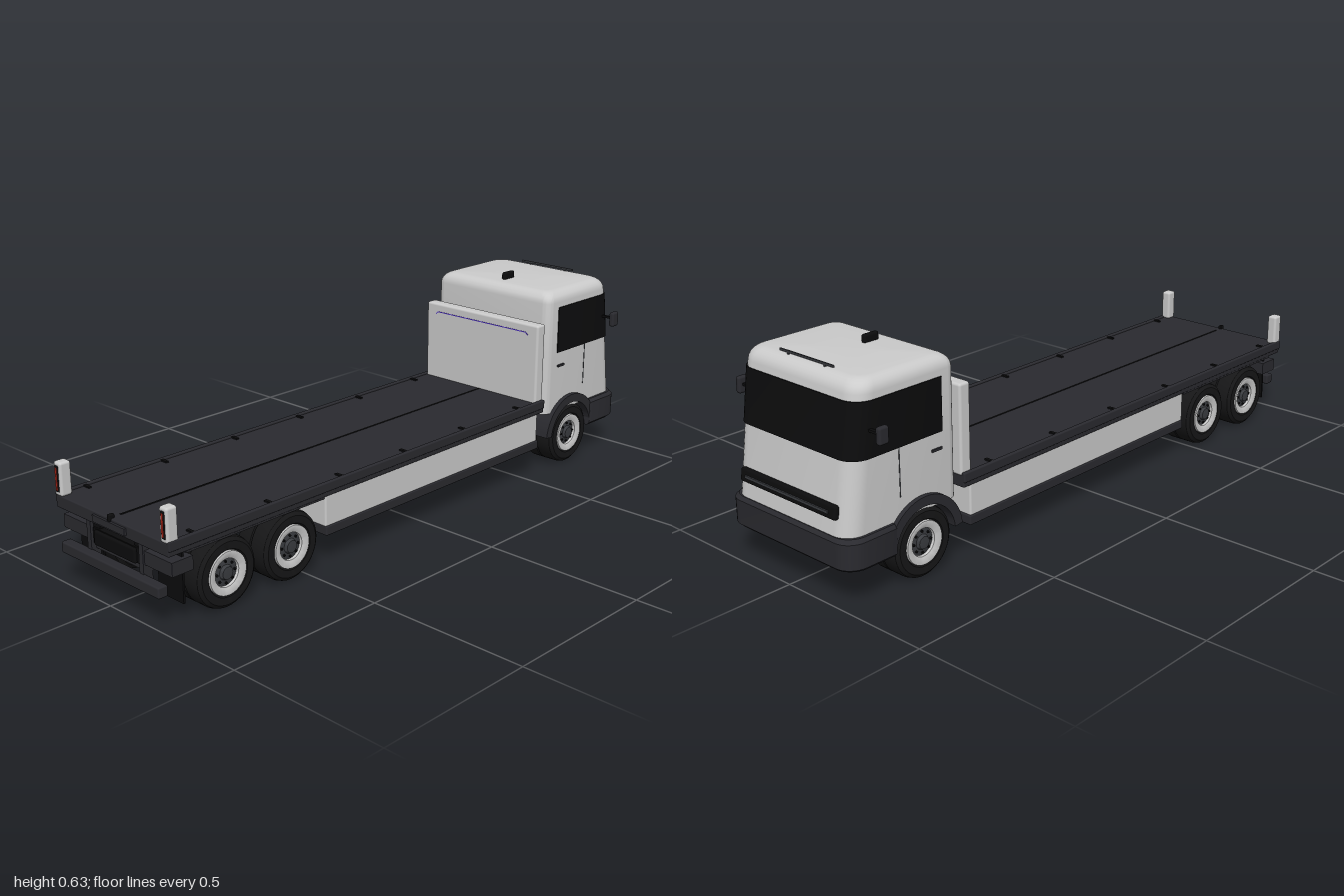
import * as THREE from 'three';
import { toCreasedNormals } from 'three/addons/utils/BufferGeometryUtils.js';
import { RoundedBoxGeometry } from 'three/addons/geometries/RoundedBoxGeometry.js';

const mat = (color, side = THREE.FrontSide) => new THREE.MeshStandardMaterial({ color, side });
const white = mat(0xcccccc), dark = mat(0x2a2a2f), black = mat(0x0c0c0d), tyreMat = mat(0x161617);
const grey = mat(0x3a3c40), red = mat(0xd03020), violet = mat(0x4a2fc0);

export function createModel() {
  const truck = new THREE.Group();
  truck.name = 'flatbedTruck';

  function add(name, geometry, material, parent = truck) {
    const mesh = new THREE.Mesh(geometry, material);
    mesh.name = name;
    parent.add(mesh);
    return mesh;
  }
  // Box given by its limits, with an optional edge radius
  function box(name, [x0, x1], [y0, y1], [z0, z1], material, r = 0, parent = truck) {
    const w = x1 - x0, h = y1 - y0, d = z1 - z0;
    const g = r ? new RoundedBoxGeometry(w, h, d, 2, r) : new THREE.BoxGeometry(w, h, d);
    const m = add(name, g, material, parent);
    m.position.set((x0 + x1) / 2, (y0 + y1) / 2, (z0 + z1) / 2);
    return m;
  }
  // The same box on both sides
  function pair(name, [x0, x1], y, z, material, r = 0) {
    box(name + 'Left', [x0, x1], y, z, material, r);
    box(name + 'Right', [-x1, -x0], y, z, material, r);
  }

  // Rounded rectangle in the xz plane, with its own front and rear corner radius
  function ring({ y, w, zf, zr, rf, rr }) {
    const pts = [], n = 8;
    [[1, 1, rr], [-1, 1, rr], [-1, -1, rf], [1, -1, rf]].forEach(([sx, sz, r], c) => {
      for (let i = 0; i <= n; i++) {
        const a = (c + i / n) * Math.PI / 2;
        pts.push([sx * (w - r) + r * Math.cos(a), y, (sz > 0 ? zr - r : zf + r) + r * Math.sin(a)]);
      }
    });
    return pts;
  }
  // Closed solid through a stack of rings, bottom to top
  function loft(sections, crease = 0.5) {
    const rings = sections.map(ring), n = rings[0].length, pos = rings.flat(2), idx = [];
    for (let k = 0; k < rings.length - 1; k++) {
      for (let i = 0; i < n; i++) {
        const a = k * n + i, b = k * n + (i + 1) % n;
        idx.push(a, a + n, b, b, a + n, b + n);
      }
    }
    const first = sections[0], last = sections[sections.length - 1], top = (rings.length - 1) * n;
    const c = rings.length * n;
    pos.push(0, first.y, (first.zf + first.zr) / 2, 0, last.y, (last.zf + last.zr) / 2);
    for (let i = 0; i < n; i++) {
      const j = (i + 1) % n;
      idx.push(c, i, j, c + 1, top + j, top + i);
    }
    const g = new THREE.BufferGeometry();
    g.setAttribute('position', new THREE.Float32BufferAttribute(pos, 3));
    g.setIndex(idx);
    return toCreasedNormals(g, crease);
  }

  // Cab shell with raked front and rounded roof edge
  const frontZ = y => -0.99 + 0.14 * (y - 0.195);
  const cabRing = (y, inset = 0) => ({
    y, w: 0.236 - inset, zf: frontZ(y) + inset, zr: -0.596 - inset, rf: 0.055 - inset / 2, rr: 0.028
  });
  const shell = [cabRing(0.195), cabRing(0.4), cabRing(0.57)];
  for (let i = 1; i <= 6; i++) {
    const a = i / 6 * Math.PI / 2;
    shell.push(cabRing(0.57 + 0.037 * Math.sin(a), 0.037 * (1 - Math.cos(a))));
  }
  add('cabShell', loft(shell), white);

  // Glass band round the front and the doors
  const glass = y => ({ y, w: 0.239, zf: frontZ(y) - 0.003, zr: -0.65, rf: 0.056, rr: 0.002 });
  add('cabGlass', loft([glass(0.4), glass(0.553)]), black);

  // Front bumper
  const bump = (y, o) => ({ y, w: 0.252 - o, zf: -1 + o, zr: -0.835, rf: 0.055, rr: 0.003 });
  add('frontBumper', loft([bump(0.104, 0.01), bump(0.114, 0), bump(0.186, 0), bump(0.197, 0.008)]), dark);
  const grille = box('grille', [-0.195, 0.195], [0.242, 0.282], [-0.993, -0.973], black, 0.008);
  grille.rotation.x = 0.14;
  box('grilleBar', [-0.17, 0.17], [0.258, 0.266], [-0.997, -0.985], grey);
  box('cabFloor', [-0.125, 0.125], [0.125, 0.2], [-0.85, -0.6], black);
  pair('doorHandle', [0.234, 0.241], [0.35, 0.357], [-0.69, -0.655], dark);
  pair('doorSeam', [0.234, 0.2372], [0.26, 0.4], [-0.807, -0.804], grey);

  // Wheel arch: a band swept over the wheel across the given width
  function arch(name, z, r0, r1, x0, x1, a0, a1) {
    const s = new THREE.Shape();
    s.absarc(0, 0, r1, a0, a1, false);
    s.absarc(0, 0, r0, a1, a0, true);
    const g = new THREE.ExtrudeGeometry(s, { depth: x1 - x0, bevelEnabled: false, curveSegments: 24 });
    g.rotateY(Math.PI / 2);
    for (const side of [1, -1]) {
      const m = add(name + (side > 0 ? 'Left' : 'Right'), toCreasedNormals(g, 0.5), dark);
      m.position.set(side > 0 ? x0 : -x1, 0.105, z);
    }
  }
  arch('frontArch', -0.73, 0.108, 0.136, 0.12, 0.25, 0.25, Math.PI - 0.1);

  // Mirrors
  pair('mirrorArm', [0.225, 0.28], [0.473, 0.48], [-0.907, -0.897], black);
  pair('mirrorHead', [0.274, 0.292], [0.45, 0.499], [-0.918, -0.884], dark, 0.007);

  // Roof fittings
  box('roofBar', [-0.107, 0.107], [0.611, 0.617], [-0.902, -0.897], grey);
  pair('roofBarFoot', [0.07, 0.076], [0.6, 0.612], [-0.902, -0.897], grey);
  box('roofBeacon', [-0.008, 0.008], [0.603, 0.63], [-0.708, -0.655], black, 0.007);

  // Load deck with edge rails, seam and lashing points
  box('deck', [-0.243, 0.243], [0.212, 0.25], [-0.58, 0.985], dark, 0.004);
  pair('deckRail', [0.234, 0.247], [0.227, 0.256], [-0.58, 0.985], dark, 0.004);
  box('deckSeam', [-0.003, 0.003], [0.249, 0.2515], [-0.54, 0.95], black);
  for (let i = 0; i < 6; i++) {
    const z = -0.46 + i * 0.271;
    pair('lashingPoint', [0.21, 0.236], [0.249, 0.2545], [z - 0.005, z + 0.005], black);
  }
  box('deckLatch', [-0.006, 0.006], [0.24, 0.261], [0.972, 0.99], black, 0.003);
  box('rearPlate', [-0.07, 0.07], [0.222, 0.242], [0.98, 0.992], dark);

  // Headboard behind the cab
  box('headboard', [-0.236, 0.236], [0.245, 0.511], [-0.582, -0.542], white, 0.008);
  box('headboardTrim', [-0.187, 0.187], [0.481, 0.484], [-0.543, -0.541], violet);
  for (const s of [1, -1]) {
    const end = box('trimEnd', [s * 0.191 - 0.006, s * 0.191 + 0.006], [0.477, 0.48], [-0.543, -0.541], violet);
    end.rotation.z = -s * 0.8;
  }

  // Rear posts with tail lights
  pair('rearPost', [0.212, 0.245], [0.248, 0.348], [0.95, 0.987], white, 0.008);
  pair('lampFrame', [0.221, 0.237], [0.26, 0.338], [0.98, 0.989], black, 0.003);
  pair('tailLamp', [0.226, 0.232], [0.266, 0.332], [0.985, 0.991], red);

  // Side lockers with dark sills
  pair('sideLocker', [0.1, 0.24], [0.118, 0.215], [-0.553, 0.425], white, 0.006);
  pair('lockerSill', [0.1, 0.243], [0.092, 0.121], [-0.557, 0.425], dark, 0.004);

  // Chassis and rear end
  box('chassis', [-0.1, 0.1], [0.145, 0.19], [-0.8, 0.97], black);
  pair('chassisRail', [0.075, 0.105], [0.15, 0.212], [0.42, 0.965], black);
  box('rearCrossmember', [-0.12, 0.12], [0.125, 0.19], [0.92, 0.96], dark);
  box('rearPanel', [-0.09, 0.09], [0.143, 0.187], [0.955, 0.978], black, 0.006);
  box('underrunBar', [-0.213, 0.213], [0.09, 0.123], [0.968, 1], dark, 0.005);
  pair('underrunBracket', [0.105, 0.122], [0.09, 0.212], [0.945, 0.975], dark);
  pair('mudFlap', [0.12, 0.222], [0.056, 0.212], [0.921, 0.927], black);
  pair('rearFenderTop', [0.118, 0.24], [0.206, 0.214], [0.43, 0.926], dark);
  pair('rearHanger', [0.12, 0.235], [0.15, 0.19], [0.9, 0.97], dark);

  // Wheels: twin tyre, light rim, dark hub and nuts; local +y points outward
  const lathe = pts => toCreasedNormals(
    new THREE.LatheGeometry(pts.map(p => new THREE.Vector2(...p)), 40), 0.6);
  const tyreGeo = lathe([[0, -0.052], [0.062, -0.054], [0.068, -0.06], [0.09, -0.06], [0.1, -0.052],
    [0.103, -0.042], [0.103, -0.003], [0.098, 0], [0.103, 0.003], [0.103, 0.042], [0.1, 0.052],
    [0.09, 0.06], [0.068, 0.06], [0.062, 0.05], [0, 0.03]]);
  const rimGeo = lathe([[0.064, 0.045], [0.063, 0.061], [0.058, 0.062], [0.041, 0.055], [0.039, 0.035]]);
  const hubGeo = lathe([[0.041, 0.035], [0.041, 0.046], [0.022, 0.05], [0.018, 0.059], [0, 0.059]]);
  const nutGeo = new THREE.CylinderGeometry(0.0035, 0.0035, 0.008, 6);
  const axles = { front: -0.73, middle: 0.557, rear: 0.79 };
  for (const [axle, z] of Object.entries(axles)) {
    for (const s of [1, -1]) {
      const wheel = new THREE.Group();
      wheel.name = axle + 'Wheel' + (s > 0 ? 'Left' : 'Right');
      add('tyre', tyreGeo, tyreMat, wheel);
      add('rim', rimGeo, white, wheel);
      add('hub', hubGeo, grey, wheel);
      for (let i = 0; i < 8; i++) {
        const a = i * Math.PI / 4;
        add('nut', nutGeo, black, wheel).position.set(0.031 * Math.cos(a), 0.049, 0.031 * Math.sin(a));
      }
      wheel.rotation.z = -s * Math.PI / 2;
      wheel.position.set(s * 0.182, 0.103, z);
      truck.add(wheel);
    }
    const shaft = add(axle + 'Axle', new THREE.CylinderGeometry(0.018, 0.018, 0.28, 16), black);
    shaft.rotation.z = Math.PI / 2;
    shaft.position.set(0, 0.103, z);
  }
  return truck;
}
